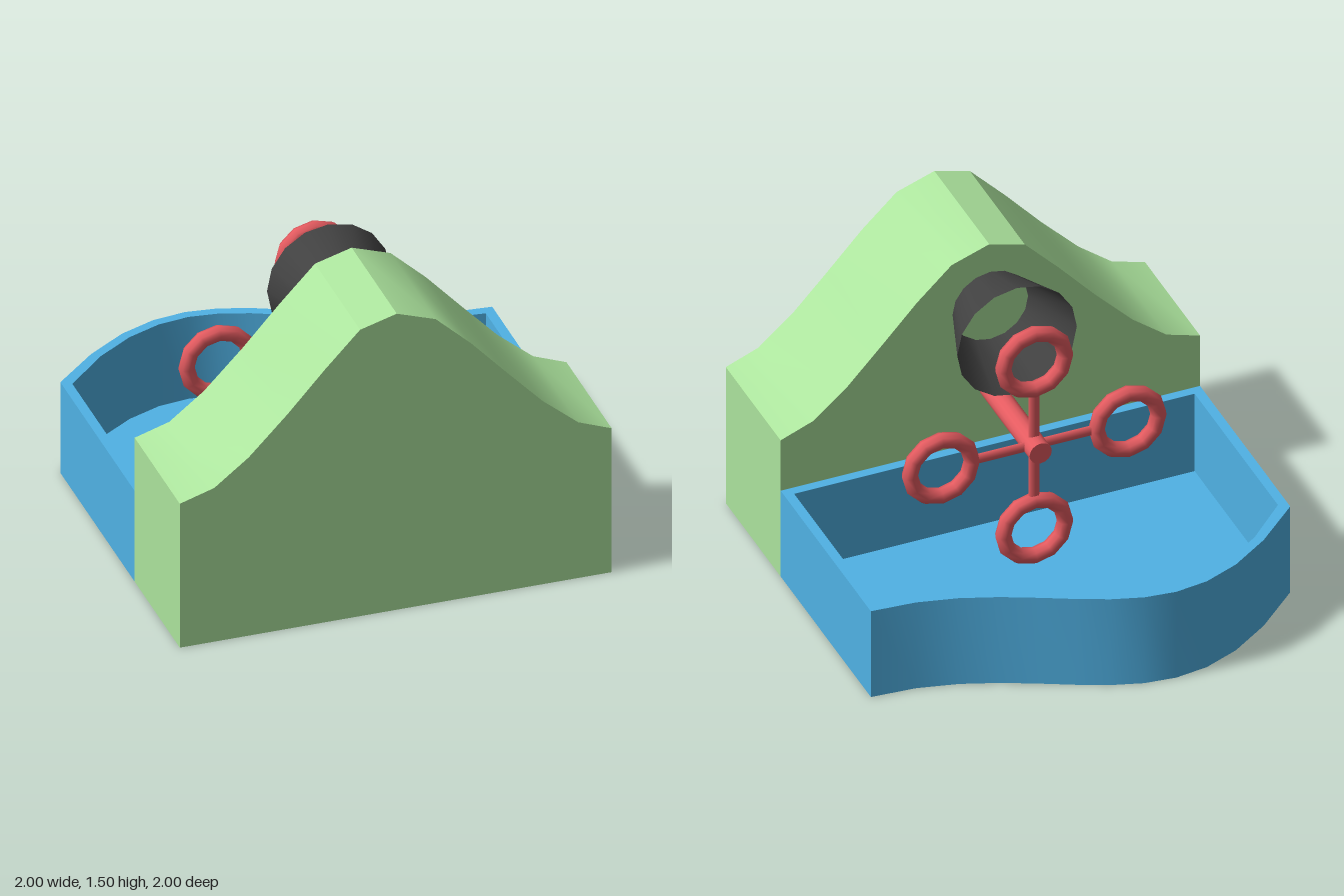
import * as THREE from 'three';
import { toCreasedNormals } from 'three/addons/utils/BufferGeometryUtils.js';

const material = (name, color, extra = {}) => {
  const m = new THREE.MeshStandardMaterial({ color, ...extra });
  m.name = name;
  return m;
};

export function createModel() {
  const green = material('leaf green', 0xace49d);
  const blue = material('water blue', 0x50b2e5);
  const red = material('coral red', 0xe45b60);
  const dark = material('charcoal', 0x424242, { side: THREE.DoubleSide });

  const model = new THREE.Group();
  model.name = 'bubbleMachine';
  const add = (parent, name, geometry, mat, x = 0, y = 0, z = 0) => {
    const mesh = new THREE.Mesh(geometry, mat);
    mesh.name = name;
    mesh.position.set(x, y, z);
    parent.add(mesh);
    return mesh;
  };
  const v = (x, y) => new THREE.Vector2(x, y);
  const extrude = (shape, depth) => toCreasedNormals(
    new THREE.ExtrudeGeometry(shape, { depth, bevelEnabled: false }), 0.44);

  // Hill-shaped housing
  const hill = [[1, 0.73], [0.845, 0.79], [0.68, 0.93], [0.52, 1.1], [0.35, 1.285], [0.185, 1.44], [0.005, 1.502],
    [-0.165, 1.453], [-0.33, 1.28], [-0.5, 1.09], [-0.68, 0.905], [-0.84, 0.78], [-1, 0.73]];
  const bodyShape = new THREE.Shape([v(-1, 0), v(1, 0), ...hill.map(([x, y]) => v(x, y))]);
  add(model, 'housing', extrude(bodyShape, 0.605), green, 0, 0, 0.395);

  // Tray with a wavy rear edge, drawn flat with shape y = -z
  const wall = 0.045, height = 0.46;
  const wave = new THREE.CubicBezierCurve(v(-1, 0.6), v(-0.12, 1.49), v(0.12, 0.6), v(1, 0.6));
  const outer = [v(1, -0.395), v(-1, -0.395)];
  const inner = [v(1 - wall, -0.35), v(wall - 1, -0.35)];
  for (let i = 0; i <= 12; i++) {
    const p = wave.getPoint(i / 12), t = wave.getTangent(i / 12);
    outer.push(p);
    const x = THREE.MathUtils.clamp(p.x + t.y * wall, wall - 1, 1 - wall);
    inner.push(v(x, p.y - t.x * wall));
  }
  // The hole runs against the outline so that the inner walls face inwards
  const rim = new THREE.Shape(outer);
  rim.holes.push(new THREE.Path([...inner].reverse()));
  add(model, 'trayWall', extrude(rim, height), blue).rotation.x = -Math.PI / 2;
  add(model, 'trayFloor', extrude(new THREE.Shape(inner), wall), blue).rotation.x = -Math.PI / 2;

  // Open flared blower nozzle
  const nozzle = new THREE.CylinderGeometry(0.18, 0.285, 0.295, 16, 1, true).rotateX(Math.PI / 2);
  add(model, 'nozzle', nozzle, dark, 0, 1.173, 0.2475);

  // Wand wheel: axle, crossed spokes and four bubble rings
  const wheel = new THREE.Group();
  wheel.name = 'wandWheel';
  wheel.position.set(0, 0.74, -0.088);
  model.add(wheel);
  const axle = new THREE.CylinderGeometry(0.053, 0.053, 0.56, 16).rotateX(Math.PI / 2);
  add(wheel, 'axle', axle, red, 0, 0, 0.207);
  const spoke = new THREE.CylinderGeometry(0.026, 0.026, 0.3, 8).scale(1, 1, 0.6);
  const ring = new THREE.TorusGeometry(0.148, 0.037, 8, 12);
  for (let i = 0; i < 4; i++) {
    const wand = new THREE.Group();
    wand.name = 'wand' + (i + 1);
    wand.rotation.z = i * Math.PI / 2;
    add(wand, 'spoke', spoke, red, 0, 0.15, 0);
    add(wand, 'bubbleRing', ring, red, 0, 0.445, 0);
    wheel.add(wand);
  }
  return model;
}
